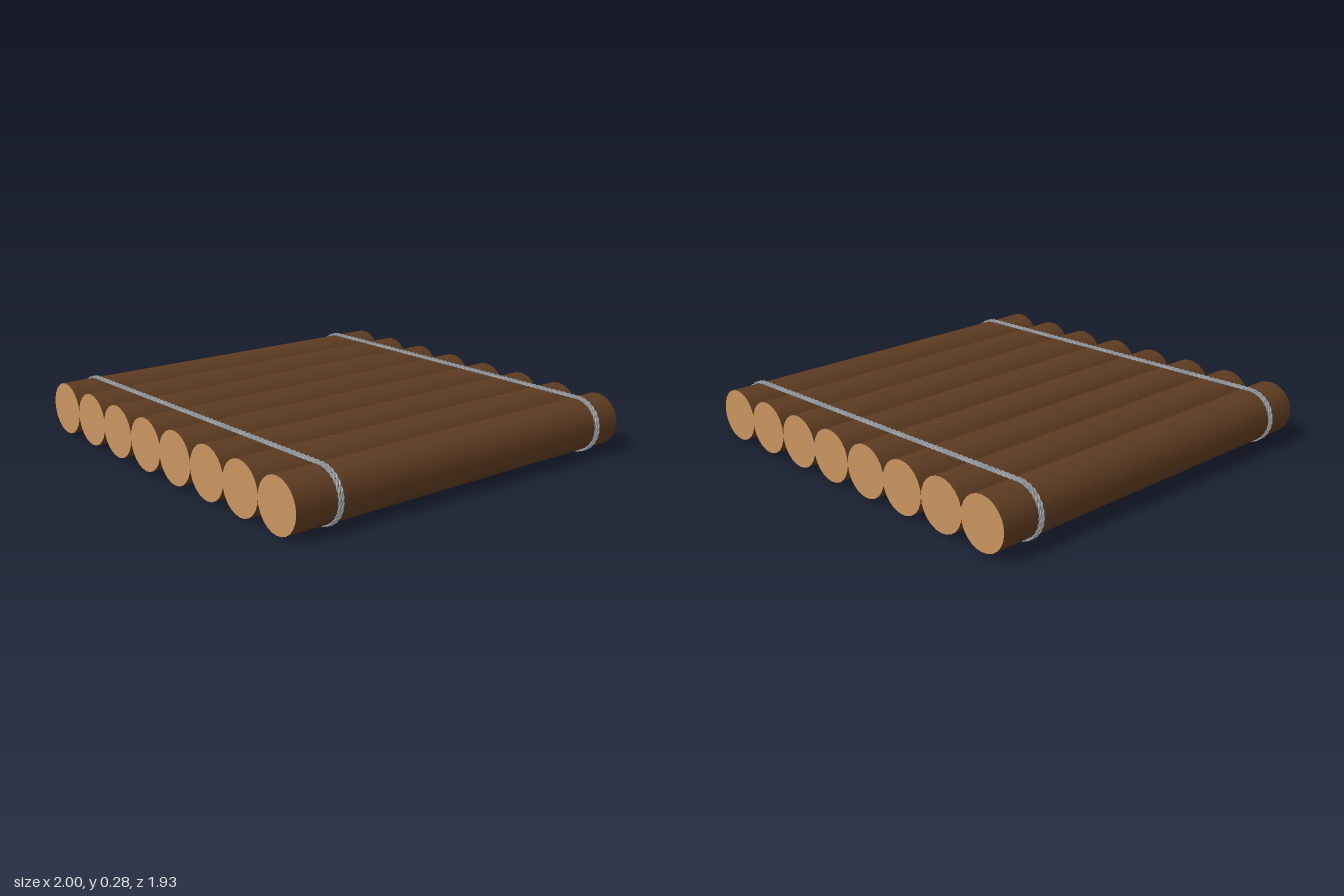
import * as THREE from 'three';

const HALF = 0.863;   // outermost log centres
const LOOP_R = 0.129; // rope loop end radius

// One strand of a twisted rope running around the row of logs
class Strand extends THREE.Curve {
  constructor(z0, phase) {
    super();
    this.z0 = z0;
    this.phase = phase;
  }
  getUtoTmapping(u) { return u; }
  getPoint(t, target = new THREE.Vector3()) {
    const straight = 2 * HALF, arc = Math.PI * LOOP_R;
    let s = (t % 1) * 2 * (straight + arc);
    const side = s < straight + arc ? 1 : -1; // top then right end, bottom then left end
    if (side < 0) s -= straight + arc;
    const a = Math.PI / 2 - Math.max(0, s - straight) / LOOP_R;
    const cx = -HALF + Math.min(s, straight);
    const twist = this.phase + t * 2 * Math.PI * 70;
    const r = LOOP_R + 0.0035 * Math.cos(twist);
    const x = side * (cx + r * Math.cos(a));
    const y = side * r * Math.sin(a) + 0.142 - 0.006 * x;
    return target.set(x, y, this.z0 - 0.026 * x + 0.0035 * Math.sin(twist));
  }
}

export function createModel() {
  const bark = new THREE.MeshStandardMaterial({ color: 0x5c3a20 });
  bark.name = 'bark';
  const cutWood = new THREE.MeshStandardMaterial({ color: 0xc8945f });
  cutWood.name = 'cutWood';
  const ropeGrey = new THREE.MeshStandardMaterial({ color: 0x8f969c });
  ropeGrey.name = 'ropeGrey';

  const raft = new THREE.Group();
  raft.name = 'raft';

  // Logs lying along z, with pale sawn ends
  const logs = new THREE.Group();
  logs.name = 'logs';
  const logGeometry = new THREE.CylinderGeometry(0.126, 0.125, 1.925, 24);
  logGeometry.rotateX(Math.PI / 2);
  for (let i = 0; i < 8; i++) {
    const log = new THREE.Mesh(logGeometry, [bark, cutWood, cutWood]);
    log.name = `log${i + 1}`;
    const x = -HALF + (i * 2 * HALF) / 7;
    log.position.set(x, 0.141 - 0.006 * x, 0);
    log.rotation.y = (i % 2 ? 1 : -1) * 0.0015;
    logs.add(log);
  }
  raft.add(logs);

  // Two lashings, each wound twice with two-strand rope
  for (const [name, z] of [['frontLashing', 0.766], ['backLashing', -0.788]]) {
    const lashing = new THREE.Group();
    lashing.name = name;
    for (const offset of [-0.008, 0.008]) {
      for (const phase of [0, Math.PI]) {
        const strand = new THREE.Mesh(
          new THREE.TubeGeometry(new Strand(z + offset, phase), 700, 0.0045, 5, true), ropeGrey);
        strand.name = 'ropeStrand';
        lashing.add(strand);
      }
    }
    raft.add(lashing);
  }
  return raft;
}
